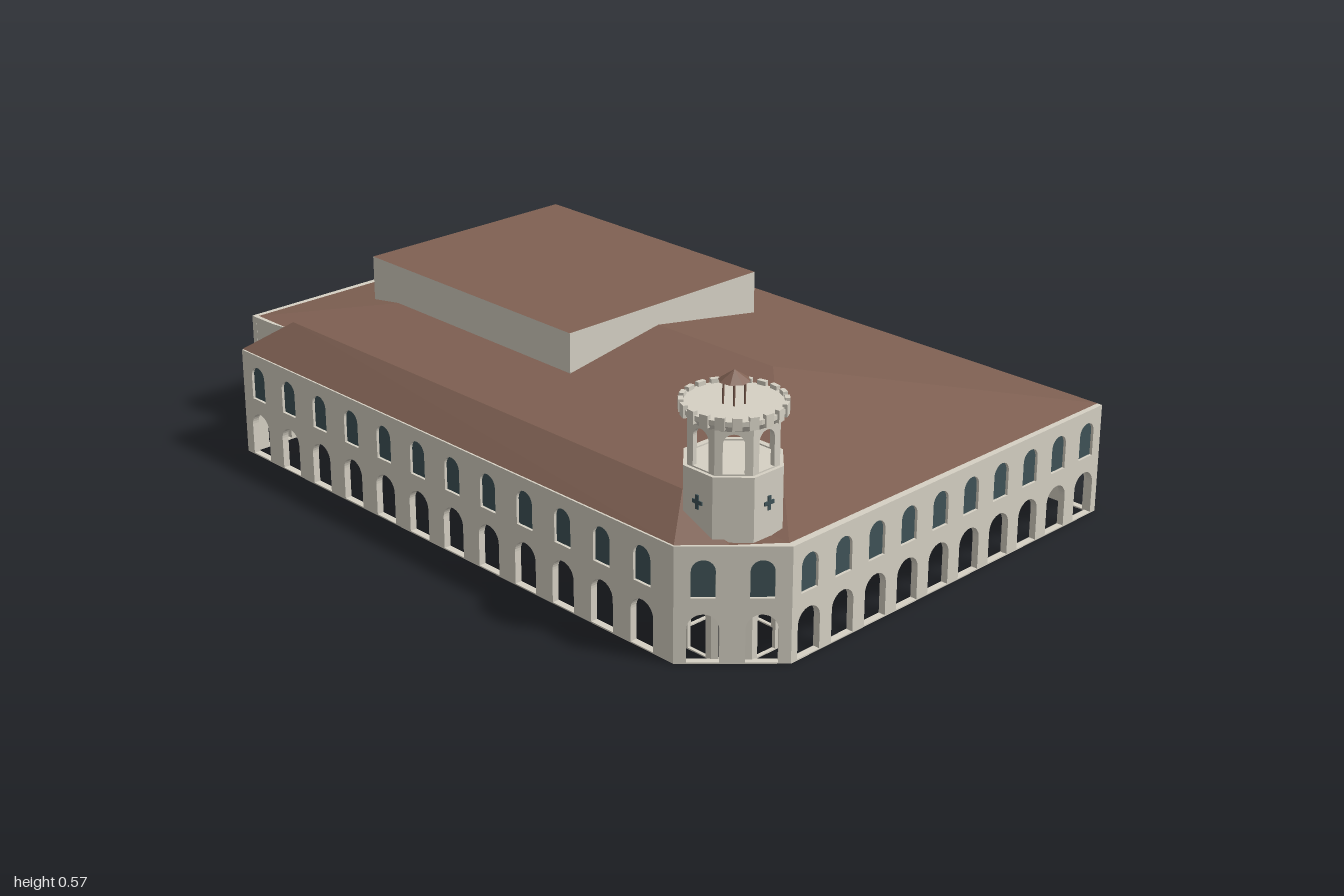
import * as THREE from 'three';

const stone = new THREE.MeshStandardMaterial({ color: 0xd6d1c4, side: THREE.DoubleSide });
stone.name = 'pale stone';
const tile = new THREE.MeshStandardMaterial({ color: 0x806153, side: THREE.DoubleSide });
tile.name = 'brown roof tile';
const glass = new THREE.MeshStandardMaterial({ color: 0x3f5357, side: THREE.DoubleSide });
glass.name = 'dark glass';

const EAVE = 0.252;

function add(parent, name, geometry, material, x = 0, y = 0, z = 0) {
  const mesh = new THREE.Mesh(geometry, material);
  mesh.name = name;
  mesh.position.set(x, y, z);
  parent.add(mesh);
  return mesh;
}

// faceted version of a geometry
function flat(geometry) {
  const g = geometry.toNonIndexed();
  g.computeVertexNormals();
  return g;
}

// round-headed outline centred on x = c
function archPath(path, c, w, bottom, top) {
  const r = w / 2;
  path.moveTo(c - r, bottom);
  path.lineTo(c - r, top - r);
  path.absarc(c, top - r, r, Math.PI, 0, true);
  path.lineTo(c + r, bottom);
  path.closePath();
  return path;
}

// wall from p to q (outside on the right-hand side), with an arcade over a thin sill and windows above
function wall(parent, name, p, q, o = {}) {
  const { bays = 0, y = 0, h = EAVE, t = 0.016, archW = 0.064, archTop = 0.107,
    winW = 0.048, winBottom = 0.142, winTop = 0.223, endMargin = 0 } = o;
  const dx = q[0] - p[0], dz = q[1] - p[1], len = Math.hypot(dx, dz);
  const group = new THREE.Group();
  group.name = name;
  group.position.set(p[0], y, p[1]);
  group.rotation.y = Math.atan2(-dz, dx);
  parent.add(group);

  const shape = new THREE.Shape();
  shape.moveTo(0, 0);
  shape.lineTo(len, 0);
  shape.lineTo(len, h);
  shape.lineTo(0, h);
  shape.closePath();
  for (let i = 0; i < bays; i++) {
    const c = (i + 0.5) * (len - endMargin) / bays;
    shape.holes.push(archPath(new THREE.Path(), c, archW, 0.003, archTop));
    if (winW) {
      shape.holes.push(archPath(new THREE.Path(), c, winW, winBottom, winTop));
      const pane = archPath(new THREE.Shape(), c, winW, winBottom, winTop);
      add(group, 'windowPane', new THREE.ShapeGeometry(pane, 6), glass, 0, 0, -0.4 * t);
    }
  }
  const g = new THREE.ExtrudeGeometry(shape, { depth: t, bevelEnabled: false, curveSegments: 8 });
  add(group, 'wallPanel', g, stone, 0, 0, -t);
}

// planar polygons given as rings of [x, y, z], each drawn as a fan
function faces(polygons) {
  const pos = [];
  for (const f of polygons)
    for (let i = 1; i < f.length - 1; i++) pos.push(...f[0], ...f[i], ...f[i + 1]);
  const g = new THREE.BufferGeometry();
  g.setAttribute('position', new THREE.Float32BufferAttribute(pos, 3));
  g.computeVertexNormals();
  return g;
}

function buildWalls(root) {
  // ground plan, each corner with the wall that starts there
  const plan = [
    [[-0.927, 0.176], 'frontWall', { bays: 12, endMargin: 0.03 }],
    [[0.3, 0.88], 'cornerWall', { bays: 2 }],
    [[0.519, 0.815], 'leftWall', { bays: 10 }],
    [[0.998, -0.05], 'backWallLeft', { bays: 7 }],
    [[0.33, -0.42], 'backWallRight', { bays: 9 }],
    [[-0.513, -0.882], 'rightWall', { bays: 10 }],
    [[-0.998, -0.032], 'returnWall', {}],
    [[-0.93, 0.005], 'notchWall', {}],
    [[-0.848, 0.036], 'wingEndWall', { bays: 1 }],
  ];
  plan.forEach(([p, name, options], i) => wall(root, name, p, plan[(i + 1) % plan.length][0], options));

  // flat ceiling closing the building at the eaves
  const outline = new THREE.Shape(plan.map(([p]) => new THREE.Vector2(p[0], -p[1])));
  add(root, 'ceiling', new THREE.ShapeGeometry(outline).rotateX(-Math.PI / 2), tile, 0, EAVE - 0.001, 0);
}

function buildRoofs(root) {
  const y = EAVE + 0.002;
  // main hipped roof
  const A = [-0.485, y, -0.88], K = [0.328, y, -0.418], B = [0.988, y, -0.052];
  const C = [0.508, y, 0.805], H = [-0.98, y, -0.03];
  const P0 = [-0.29, 0.335, -0.2], P2 = [0.31, 0.335, 0.135];
  add(root, 'mainRoof', faces([
    [P2, P0, A, K, B], [P2, B, C], [P0, P2, C, H], [P0, H, A],
  ]), tile);
  // ridged roof of the front wing, folding round the tower
  const E = [-0.925, y, 0.176], D = [0.3, y, 0.878], F = [-0.85, y, 0.036], M = [0.4, y, 0.848];
  const T = [0.38, y, 0.735], R1 = [-0.81, 0.32, 0.144], R2 = [0.285, 0.32, 0.765];
  add(root, 'wingRoof', faces([
    [R1, E, D, R2], [R1, R2, T, F], [R1, F, E], [R2, D, M], [R2, M, T], [T, M, C],
  ]), tile);
  // raised rooftop block
  const block = add(root, 'rooftopBlock', new THREE.BoxGeometry(0.697, 0.11, 0.576),
    [stone, stone, tile, tile, stone, stone], -0.289, 0.33, -0.23);
  block.rotation.y = -Math.PI / 6;
}

function buildTower(root) {
  const tower = new THREE.Group();
  tower.name = 'tower';
  tower.position.set(0.38, 0, 0.743);
  root.add(tower);
  const rad = THREE.MathUtils.degToRad, start = rad(37.5);
  const corner = (R, k) => [R * Math.sin(start + k * Math.PI / 4), R * Math.cos(start + k * Math.PI / 4)];

  for (let k = 0; k < 8; k++) {
    // arcaded foot and open belfry
    wall(tower, 'towerFoot', corner(0.104, k), corner(0.104, k + 1),
      { bays: 1, archW: 0.05, winW: 0.04, t: 0.008 });
    wall(tower, 'belfryArch', corner(0.096, k), corner(0.096, k + 1),
      { bays: 1, y: 0.39, h: 0.1, archW: 0.042, archTop: 0.085, winW: 0, t: 0.01 });
  }
  const shaft = new THREE.CylinderGeometry(0.104, 0.104, 0.138, 8, 1, false, start, Math.PI * 2);
  add(tower, 'towerShaft', flat(shaft), stone, 0, 0.321, 0);

  // cross-shaped openings on alternate faces
  for (let k = 0; k < 4; k++) {
    const a = rad(60 + 90 * k), d = 0.0965;
    for (const [w, h] of [[0.026, 0.008], [0.008, 0.03]]) {
      const bar = add(tower, 'crossOpening', new THREE.BoxGeometry(w, h, 0.004), glass,
        d * Math.sin(a), 0.326, d * Math.cos(a));
      bar.rotation.y = a;
    }
  }

  // flared crown with a ring of small merlons
  add(tower, 'crownCorbel', flat(new THREE.CylinderGeometry(0.104, 0.093, 0.014, 24)), stone, 0, 0.489, 0);
  add(tower, 'crownDeck', flat(new THREE.CylinderGeometry(0.104, 0.104, 0.01, 24)), stone, 0, 0.501, 0);
  for (let i = 0; i < 20; i++) {
    const a = i * Math.PI / 10;
    const m = add(tower, 'merlon', new THREE.BoxGeometry(0.019, 0.026, 0.01), stone,
      0.102 * Math.sin(a), 0.502, 0.102 * Math.cos(a));
    m.rotation.y = a;
  }

  // open lantern
  for (let i = 0; i < 6; i++) {
    const a = i * Math.PI / 3 + 0.26;
    add(tower, 'lanternPost', new THREE.CylinderGeometry(0.002, 0.002, 0.046, 6), tile,
      0.024 * Math.sin(a), 0.529, 0.024 * Math.cos(a));
  }
  add(tower, 'lanternRoof', flat(new THREE.ConeGeometry(0.032, 0.022, 8)), tile, 0, 0.561, 0);
}

export function createModel() {
  const root = new THREE.Group();
  root.name = 'arcadedBuilding';
  buildWalls(root);
  buildRoofs(root);
  buildTower(root);
  return root;
}
